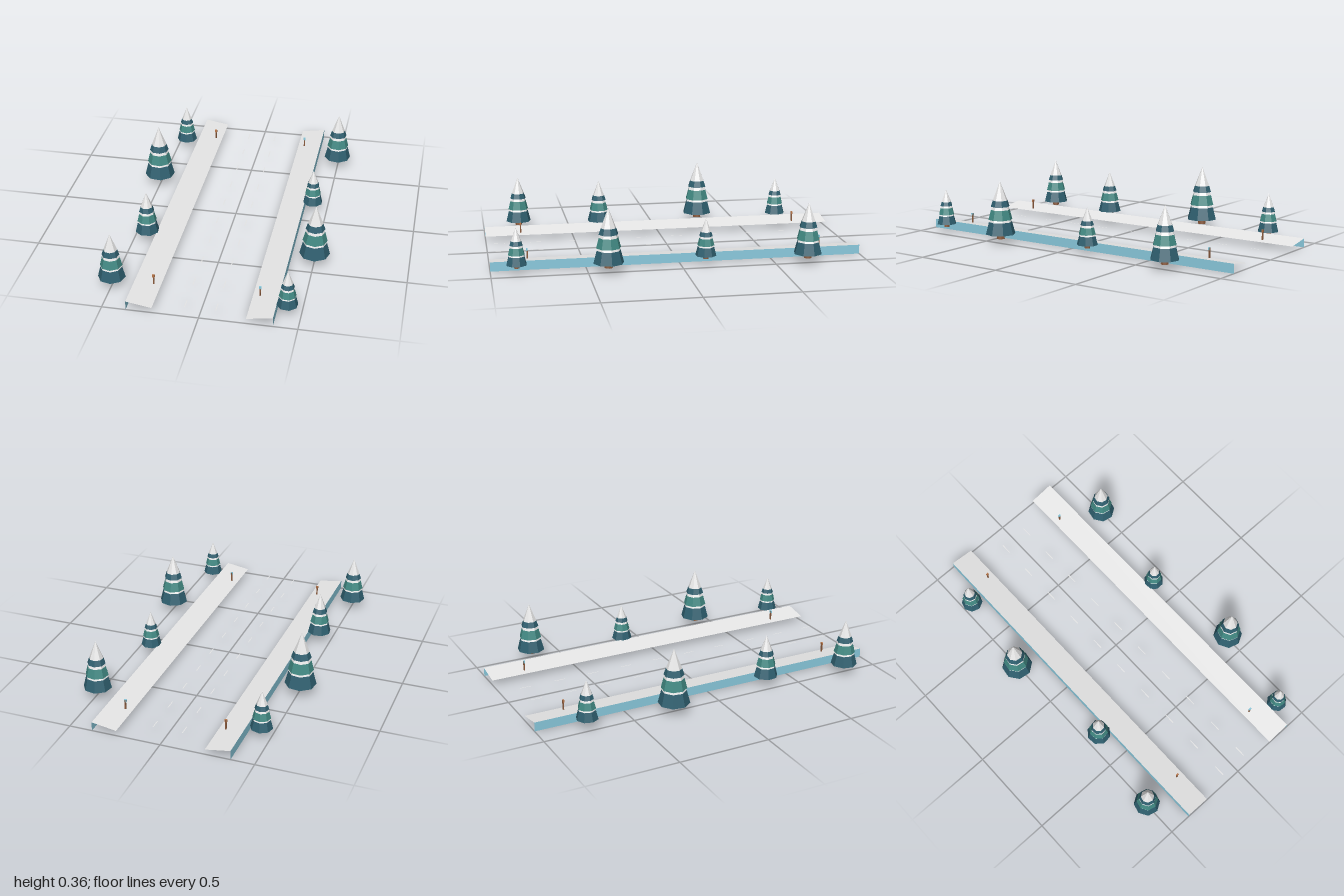
import * as THREE from 'three';

const mat = (name, color, extra = {}) =>
  Object.assign(new THREE.MeshStandardMaterial({ color, flatShading: true, ...extra }), { name });

export function createModel() {
  const root = new THREE.Group();
  root.name = 'snowyRoadside';
  const GROUND = 0.027;

  const snow = mat('snow white', 0xeeeeee, { side: THREE.DoubleSide });
  const ice = mat('ice blue', 0x8bcbdf, { side: THREE.DoubleSide });
  const darkPine = mat('dark pine', 0x2f6070);
  const lightPine = mat('light pine', 0x428a84);
  const bark = mat('bark brown', 0x8a5a3c);
  const amber = mat('amber reflector', 0xb9774a);

  const add = (parent, name, geometry, material, x = 0, y = 0, z = 0) => {
    const mesh = new THREE.Mesh(geometry, material);
    mesh.name = name;
    mesh.position.set(x, y, z);
    parent.add(mesh);
    return mesh;
  };

  // Sloping snow verge with an ice wall along its outer edge, on each side
  const inner = 0.24, outer = 0.375, wallTop = 0.05;
  for (const side of [1, -1]) {
    const verge = new THREE.PlaneGeometry(outer - inner, 2);
    verge.rotateX(-Math.PI / 2);
    const p = verge.attributes.position;
    for (let i = 0; i < p.count; i++) {
      p.setY(i, p.getX(i) * side > 0 ? wallTop : GROUND + 0.001);
    }
    verge.computeVertexNormals();
    add(root, 'snowVerge', verge, snow, side * (inner + outer) / 2);

    const wall = new THREE.PlaneGeometry(2, wallTop);
    wall.rotateY(side * Math.PI / 2);
    add(root, 'iceWall', wall, ice, side * outer, wallTop / 2);
  }

  // Two rows of lane dashes
  for (const x of [-0.08, 0.08]) {
    for (let i = 0; i < 10; i++) {
      const dash = new THREE.PlaneGeometry(0.005, 0.062).rotateX(-Math.PI / 2);
      add(root, 'laneDash', dash, snow, x, GROUND, -0.87 + i * 0.2);
    }
  }

  // Marker posts with reflectors
  for (const side of [1, -1]) {
    for (const z of [-0.8, 0.8]) {
      const post = new THREE.Group();
      post.name = 'markerPost';
      post.position.set(side * 0.277, GROUND, z);
      add(post, 'pole', new THREE.BoxGeometry(0.007, 0.062, 0.007), bark, 0, 0.031);
      add(post, 'reflector', new THREE.BoxGeometry(0.013, 0.014, 0.008),
        side > 0 ? ice : amber, 0, 0.056, 0.001);
      root.add(post);
    }
  }

  // Pine layers for a tree of height 1: name, material, bottom y, top y, bottom radius, top radius
  const layers = [
    ['trunk', bark, 0, 0.12, 0.07, 0.06],
    ['lowerBranches', darkPine, 0.085, 0.3, 0.256, 0.2],
    ['lowerSnow', snow, 0.3, 0.38, 0.2, 0.165],
    ['middleBranches', lightPine, 0.34, 0.51, 0.207, 0.163],
    ['middleSnow', snow, 0.51, 0.59, 0.163, 0.13],
    ['upperBranches', darkPine, 0.565, 0.67, 0.163, 0.128],
    ['snowTip', snow, 0.67, 1, 0.128, 0],
  ];
  // x, z, height, turn
  const trees = [
    [-0.447, -0.74, 0.233, 0.1], [-0.506, -0.273, 0.333, 0.25],
    [-0.43, 0.331, 0.258, 0.5], [-0.5, 0.798, 0.281, 0.15],
    [0.495, -0.673, 0.3, 0.2], [0.418, -0.135, 0.22, 0.45],
    [0.5, 0.395, 0.318, 0.1], [0.426, 0.865, 0.217, 0.3],
  ];
  for (const [x, z, height, turn] of trees) {
    const tree = new THREE.Group();
    tree.name = 'pineTree';
    for (const [name, material, y0, y1, r0, r1] of layers) {
      add(tree, name, new THREE.CylinderGeometry(r1, r0, y1 - y0, 8), material, 0, (y0 + y1) / 2);
    }
    tree.position.set(x, GROUND, z);
    tree.rotation.y = turn;
    tree.scale.setScalar(height);
    root.add(tree);
  }

  return root;
}
